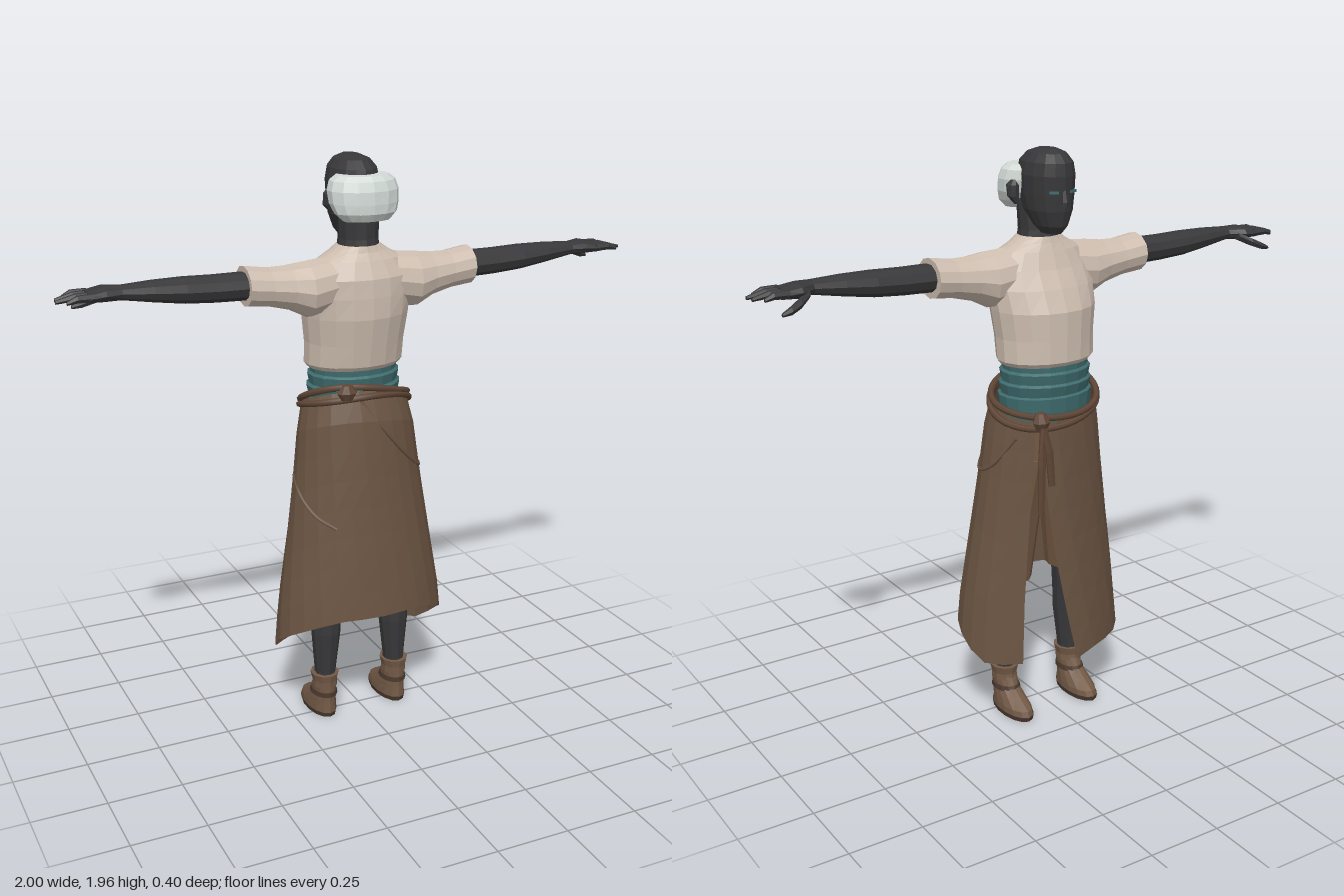
import * as THREE from 'three';

const mat = (name, color, side = THREE.FrontSide) => {
  const m = new THREE.MeshStandardMaterial({ color, side });
  m.name = name;
  return m;
};

// Flat-shaded geometry from a list of triangle corners
function facets(points) {
  const g = new THREE.BufferGeometry().setFromPoints(points);
  g.computeVertexNormals();
  return g;
}

// Capped loft through ascending ellipses [y, cx, cz, rx, rz]
function loft(rings, n = 12) {
  const at = (r, j) => {
    const a = (j / n) * Math.PI * 2;
    return new THREE.Vector3(r[1] + r[3] * Math.sin(a), r[0], r[2] + r[4] * Math.cos(a));
  };
  const mid = r => new THREE.Vector3(r[1], r[0], r[2]);
  const first = rings[0], last = rings[rings.length - 1], tri = [];
  for (let j = 0; j < n; j++) {
    for (let i = 0; i < rings.length - 1; i++) {
      const a = at(rings[i], j), b = at(rings[i], j + 1);
      const c = at(rings[i + 1], j + 1), d = at(rings[i + 1], j);
      tri.push(a, b, c, a, c, d);
    }
    tri.push(mid(first), at(first, j + 1), at(first, j));
    tri.push(mid(last), at(last, j), at(last, j + 1));
  }
  return facets(tri);
}

// Loft running outward along x on side s, rings [x, cy, cz, ry, rz]
function sideLoft(s, rings, n) {
  return loft(rings.map(([x, y, z, ry, rz]) => [x, -s * y, z, ry, rz]), n).rotateZ(-s * Math.PI / 2);
}

function tube(points, radius, closed = false, steps = 24) {
  const curve = new THREE.CatmullRomCurve3(points.map(p => new THREE.Vector3(...p)), closed);
  return new THREE.TubeGeometry(curve, steps, radius, 6, closed);
}

// Skirt outline: [y, half width, front z, back z]
const OUTLINE = [[1.21, .165, -.17, .095], [1.1, .2, -.174, .13], [.9, .225, -.174, .15],
  [.7, .255, -.176, .172], [.45, .295, -.185, .2], [.2, .32, -.196, .215]];
function skirtPoint(a, y, out = 0) {
  let k = 0;
  while (k < OUTLINE.length - 2 && y < OUTLINE[k + 1][0]) k++;
  const p = OUTLINE[k], q = OUTLINE[k + 1], t = (p[0] - y) / (p[0] - q[0]);
  const [, w, f, b] = p.map((v, i) => v + (q[i] - v) * t);
  return new THREE.Vector3((w + out) * Math.sin(a), y, (f + b) / 2 - ((b - f) / 2 + out) * Math.cos(a));
}
const waistY = a => 1.15 - .055 * Math.cos(a) - .015 * Math.sin(a);

// Wrap skirt: open at the front, hem rising towards the back
function skirtGeometry(rows = 8, cols = 22) {
  const point = (i, j) => {
    const t = i / rows, a0 = .56, a1 = Math.PI * 2 + .5 - .6 * t;
    const a = a0 + (a1 - a0) * j / cols, c = Math.cos(a);
    const hem = c < 0 ? .32 + .11 * Math.min(1, -c * 1.1) : .32 - .08 * Math.min(1, 2 * c);
    const tip = j === cols ? -.02 : 0;
    const top = waistY(a);
    return skirtPoint(a, top + (hem + tip - top) * t, j > cols - 2 ? .006 : 0);
  };
  const tri = [];
  for (let i = 0; i < rows; i++) for (let j = 0; j < cols; j++) {
    const a = point(i, j), b = point(i, j + 1), c = point(i + 1, j + 1), d = point(i + 1, j);
    tri.push(a, b, c, a, c, d);
  }
  return facets(tri);
}

export function createModel() {
  const model = new THREE.Group();
  const skin = mat('skin', 0x38383a), hair = mat('hair', 0xd3dbd7);
  const linen = mat('shirt linen', 0xcdbdaf), teal = mat('teal cloth', 0x3f6c6e);
  const cloth = mat('skirt cloth', 0x6a5442, THREE.DoubleSide), trouser = mat('trouser cloth', 0x735842);
  const rope = mat('belt leather', 0x5f4636), leather = mat('boot leather', 0x735a47);
  const sole = mat('boot sole', 0x4a392e);
  const add = (name, geometry, material, parent = model) => {
    const m = new THREE.Mesh(geometry, material);
    m.name = name;
    parent.add(m);
    return m;
  };

  // Head and neck, with the face towards -z
  add('neck', loft([[1.64, 0, 0, .075, .075], [1.7, 0, 0, .066, .066], [1.8, 0, .005, .072, .06]]), skin);
  add('head', loft([[1.695, 0, -.075, .03, .045], [1.72, 0, -.068, .05, .072], [1.77, 0, -.052, .072, .1],
    [1.82, 0, -.045, .08, .11], [1.88, 0, -.045, .084, .112], [1.92, 0, -.047, .076, .105],
    [1.947, 0, -.05, .055, .078], [1.96, 0, -.055, .025, .04]], 16), skin);
  add('nose', loft([[1.785, 0, -.15, .016, .014], [1.8, 0, -.152, .013, .014], [1.84, 0, -.148, .007, .008]], 6), skin);
  add('hair', loft([[1.765, 0, .065, .08, .045], [1.79, 0, .058, .106, .068], [1.82, 0, .045, .117, .083],
    [1.86, 0, .036, .12, .09], [1.89, 0, .03, .11, .085], [1.906, 0, .03, .088, .07]], 14), hair);

  // Shirt body
  add('shirt', loft([[1.27, 0, -.04, .16, .12], [1.285, 0, -.04, .172, .131], [1.36, 0, -.033, .173, .138],
    [1.45, 0, -.025, .184, .146], [1.52, 0, -.01, .19, .13], [1.58, 0, .004, .185, .112],
    [1.635, 0, .002, .145, .088], [1.66, 0, 0, .1, .076], [1.68, 0, 0, .072, .07]], 18), linen);

  for (const s of [1, -1]) {
    const side = s > 0 ? 'left' : 'right';
    const eye = add(side + 'Eye', new THREE.BoxGeometry(.03, .009, .008), teal);
    eye.position.set(s * .036, 1.832, -.144);
    eye.rotation.y = -.42 * s;
    add(side + 'Ear', loft([[1.785, s * .088, -.01, .008, .012], [1.81, s * .1, -.008, .02, .018],
      [1.845, s * .1, -.004, .02, .022], [1.862, s * .095, -.004, .01, .012]], 8), skin);

    // Sleeve, arm and hand
    add(side + 'Sleeve', sideLoft(s, [[.08, 1.565, .005, .085, .085], [.19, 1.548, .012, .092, .092],
      [.25, 1.559, .01, .073, .08], [.32, 1.567, .009, .063, .074], [.4, 1.577, .008, .065, .075]]), linen);
    add(side + 'Arm', sideLoft(s, [[.36, 1.578, .01, .046, .054], [.5, 1.58, .01, .044, .052],
      [.6, 1.585, .01, .042, .052], [.7, 1.592, .012, .034, .044], [.8, 1.598, .014, .023, .033],
      [.85, 1.598, .002, .025, .054], [.905, 1.594, .006, .018, .056]], 10), skin);
    [[-.037, .968], [-.009, .995], [.02, 1], [.047, .972]].forEach(([z, end], i) => {
      add(side + 'Finger' + (i + 1), sideLoft(s, [[.89, 1.597, z, .014, .014], [.94, 1.598, z * 1.06, .012, .012],
        [end, 1.588, z * 1.06, .006, .007]], 6), skin);
    });
    add(side + 'Thumb', sideLoft(s, [[.825, 1.59, -.025, .014, .02], [.865, 1.57, -.056, .015, .016],
      [.9, 1.555, -.069, .013, .013], [.93, 1.546, -.073, .006, .007]], 6), skin);

    // Trouser leg, shin and boot
    add(side + 'TrouserLeg', loft([[.5, s * .125, 0, .08, .085], [.75, s * .105, -.01, .088, .1],
      [.95, s * .085, -.02, .09, .115]]), trouser);
    add(side + 'Leg', loft([[.1, s * .135, .012, .035, .04], [.17, s * .134, .012, .037, .04],
      [.32, s * .131, .015, .052, .048], [.4, s * .13, .01, .056, .05], [.56, s * .125, 0, .065, .062]], 10), skin);
    const boot = new THREE.Group();
    boot.name = side + 'Boot';
    boot.position.x = s * .136;
    model.add(boot);
    add('bootSole', loft([[0, 0, -.045, .049, .105], [.016, 0, -.045, .052, .11]], 14), sole, boot);
    add('bootFoot', loft([[.014, 0, -.045, .05, .107], [.035, 0, -.042, .049, .102], [.06, 0, -.022, .045, .08],
      [.09, 0, .002, .039, .056], [.125, 0, .01, .041, .048]], 14), leather, boot);
    add('bootCuff', loft([[.112, 0, .01, .044, .051], [.135, 0, .012, .043, .05],
      [.162, 0, .012, .05, .055]], 10), leather, boot);
    add('bootStrap', loft([[.078, 0, .0, .046, .064], [.094, 0, .003, .043, .06]], 12), sole, boot);
  }

  // Wrapped sash in overlapping bands, and the hips below it
  add('sash', loft([[1.06, 0, -.035, .16, .12], [1.12, 0, -.038, .162, .126], [1.165, 0, -.038, .166, .13],
    [1.17, 0, -.038, .156, .122], [1.205, 0, -.04, .164, .13], [1.212, 0, -.04, .154, .122],
    [1.245, 0, -.04, .16, .128], [1.252, 0, -.04, .15, .12], [1.29, 0, -.04, .155, .122]], 18), teal);
  add('hips', loft([[.86, 0, -.02, .12, .1], [.95, 0, -.02, .165, .125], [1.09, 0, -.025, .168, .125]]), trouser);

  add('skirt', skirtGeometry(), cloth);

  // Rope belt wound twice around the waist
  for (const [drop, out] of [[-.012, .006], [.016, .004]]) {
    const loop = [];
    for (let i = 0; i < 16; i++) {
      const a = i / 16 * Math.PI * 2;
      loop.push(skirtPoint(a, waistY(a) - drop * (1 + Math.sin(a * 2) * .5), out).toArray());
    }
    add('beltRope', tube(loop, .011, true, 40), rope);
  }
  // Back knot, and front knot with hanging ends
  add('backKnot', loft([[1.185, -.085, .1, .02, .012], [1.21, -.085, .1, .036, .022],
    [1.235, -.085, .098, .018, .012]], 8), rope);
  add('frontKnot', loft([[1.07, .1, -.172, .018, .014], [1.1, .1, -.174, .032, .024],
    [1.13, .1, -.168, .018, .014]], 8), rope);
  add('longTieEnd', loft([[.79, .115, -.195, .012, .005], [.95, .112, -.193, .016, .006],
    [1.1, .1, -.182, .01, .008]], 6), rope);
  add('shortTieEnd', loft([[.88, .072, -.193, .014, .005], [1, .082, -.192, .016, .006],
    [1.1, .1, -.182, .01, .008]], 6), rope);

  // Folds draped across the skirt
  const fold = path => add('skirtFold', tube(path.map(([a, y]) => skirtPoint(a, y, -.002).toArray()), .007), cloth);
  fold([[3.4, 1.19], [2.9, 1.06], [2.4, .95], [1.9, .9], [1.4, .93], [.9, 1.04]]);
  fold([[4.9, .9], [4.5, .85], [4.1, .79], [3.75, .75]]);
  return model;
}
